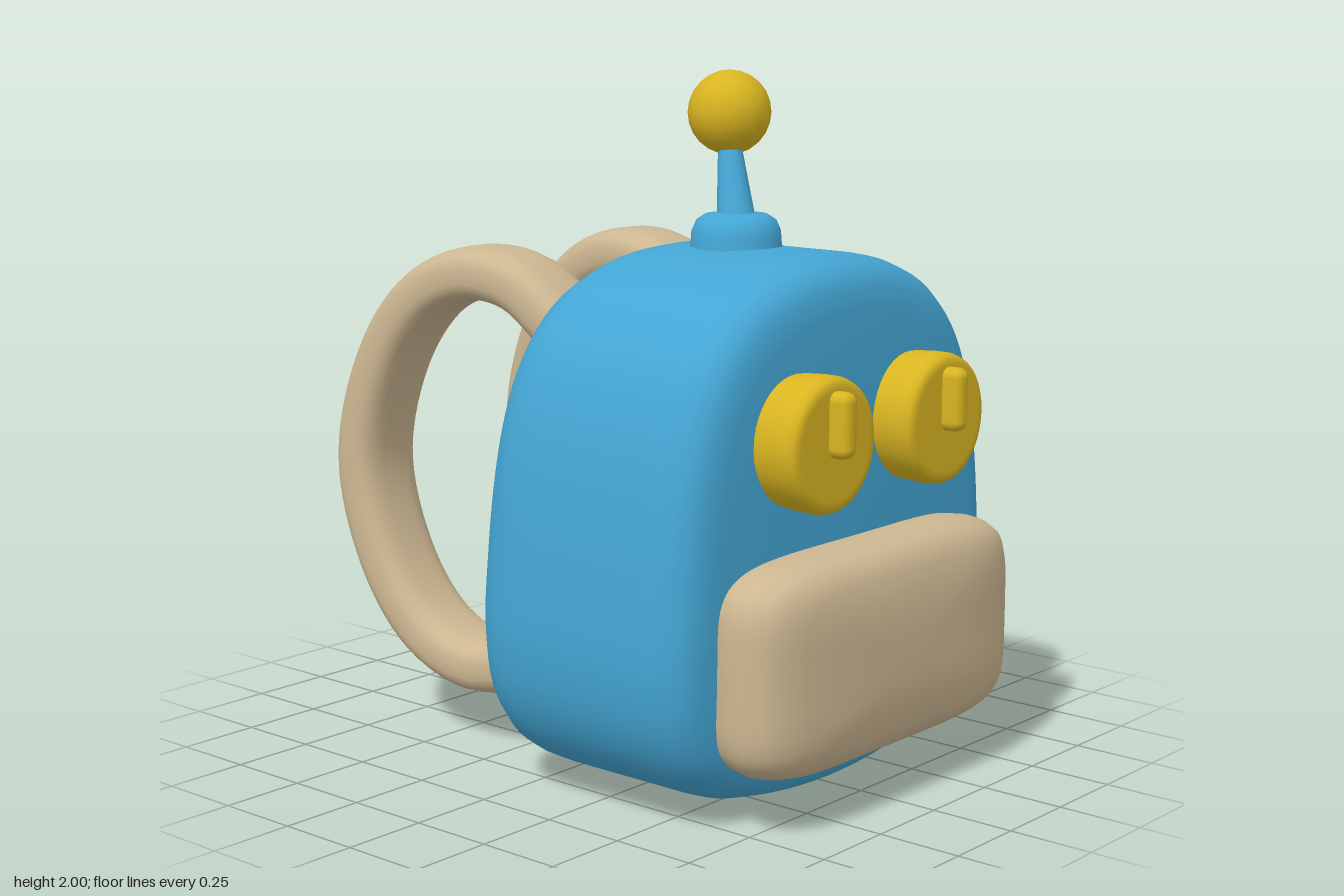
import * as THREE from 'three';
import { RoundedBoxGeometry } from 'three/addons/geometries/RoundedBoxGeometry.js';

const mat = (name, color) => {
  const m = new THREE.MeshStandardMaterial({ color });
  m.name = name;
  return m;
};

// Skin over equal-length closed rings of points (counter-clockwise around the direction of travel)
function skin(rings) {
  const n = rings[0].length, index = [];
  for (let i = 0; i < rings.length - 1; i++) {
    for (let j = 0; j < n; j++) {
      const k = (j + 1) % n;
      const a = i * n + j, b = i * n + k, c = a + n, d = b + n;
      index.push(a, b, d, a, d, c);
    }
  }
  const g = new THREE.BufferGeometry().setFromPoints(rings.flat());
  g.setIndex(index);
  g.computeVertexNormals();
  return g;
}

// Puffy solid: one outline scaled about (0, cy) along a list of [scale, z]
function puff(outline, cy, layers, adjust = (x, y, z) => z) {
  return skin(layers.map(([s, z]) => outline.map((p) => {
    const x = p.x * s, y = cy + (p.y - cy) * s;
    return new THREE.Vector3(x, y, adjust(x, y, z));
  })));
}

const power = (v, e) => Math.sign(v) * Math.abs(v) ** e;

function lathe(points, segments) {
  return new THREE.LatheGeometry(points.map((p) => new THREE.Vector2(...p)), segments);
}

export function createModel() {
  const model = new THREE.Group();
  const blue = mat('blue fabric', 0x44a6d4);
  const tan = mat('tan fabric', 0xcdb792);
  const yellow = mat('yellow trim', 0xd9b521);
  const add = (name, geometry, material, parent = model) => {
    const mesh = new THREE.Mesh(geometry, material);
    mesh.name = name;
    parent.add(mesh);
    return mesh;
  };

  // Body: dome-shaped outline with rounded front and back edges
  const half = [[0, 0], [0.28, 0.02], [0.48, 0.065], [0.62, 0.15], [0.7, 0.28], [0.73, 0.45], [0.722, 0.65],
    [0.695, 0.9], [0.65, 1.1], [0.58, 1.26], [0.46, 1.39], [0.28, 1.475], [0, 1.51]];
  const loop = [...half, ...half.slice(1, -1).reverse().map(([x, y]) => [-x, y])];
  const outline = new THREE.CatmullRomCurve3(loop.map(([x, y]) => new THREE.Vector3(x, y, 0)), true)
    .getPoints(96).slice(0, -1);
  const bodyLayers = [[0.001, -0.12], [0.4, -0.115], [0.7, -0.105], [0.84, -0.09], [0.9, -0.07], [0.945, -0.035],
    [0.98, 0.015], [0.995, 0.07], [1, 0.14], [1, 0.34], [1, 0.53], [0.995, 0.585], [0.975, 0.635],
    [0.94, 0.67], [0.89, 0.692], [0.8, 0.705], [0.5, 0.715], [0.001, 0.72]];
  // the back leans in slightly towards the top
  add('body', puff(outline, 0.75, bodyLayers,
    (x, y, z) => z + 0.03 * (y - 0.75) * Math.max(0, 1 - (z + 0.12) / 0.5)), blue);

  // Front pocket, also the mouth
  const pocketOutline = [];
  for (let i = 0; i < 80; i++) {
    const a = (i / 80) * Math.PI * 2;
    pocketOutline.push(new THREE.Vector2(0.595 * power(Math.cos(a), 0.38), 0.44 + 0.3 * power(Math.sin(a), 0.38)));
  }
  add('pocket', puff(pocketOutline, 0.44, [[0.94, 0.66], [0.985, 0.71], [1, 0.76], [0.99, 0.8], [0.95, 0.845],
    [0.88, 0.877], [0.75, 0.9], [0.5, 0.915], [0.25, 0.92], [0.001, 0.92]]), tan);

  // Eyes: round discs with an upright toggle
  for (const side of [-1, 1]) {
    const eye = new THREE.Group();
    eye.name = side > 0 ? 'leftEye' : 'rightEye';
    eye.position.set(side * 0.26, 1.04, 0);
    model.add(eye);
    const disc = add('eyeDisc', lathe([[0.175, 0.66], [0.183, 0.72], [0.187, 0.78], [0.187, 0.815], [0.18, 0.835],
      [0.165, 0.843], [0.15, 0.843], [0.08, 0.843], [0, 0.843]], 40), yellow, eye);
    disc.rotation.x = Math.PI / 2;
    add('eyeToggle', new RoundedBoxGeometry(0.064, 0.18, 0.12, 4, 0.028), yellow, eye).position.set(0, 0.06, 0.838);
  }

  // Antenna: domed base, leaning stem and ball
  add('antennaBase', lathe([[0.14, 1.46], [0.13, 1.52], [0.128, 1.55], [0.115, 1.58], [0.09, 1.597],
    [0.05, 1.603], [0, 1.605]], 24), blue).position.set(0.02, 0, 0.27);
  const from = new THREE.Vector3(0.015, 1.57, 0.275), to = new THREE.Vector3(0.055, 1.82, 0.212);
  const stem = add('antennaStem', new THREE.CylinderGeometry(0.03, 0.057, from.distanceTo(to), 16), blue);
  stem.position.copy(from).lerp(to, 0.5);
  stem.quaternion.setFromUnitVectors(new THREE.Vector3(0, 1, 0), to.clone().sub(from).normalize());
  add('antennaBall', new THREE.SphereGeometry(0.12, 16, 12), yellow).position.set(0.067, 1.88, 0.205);

  // Straps: flattened loops on the back, splayed outwards
  const path = new THREE.CatmullRomCurve3([[1.2, 0.02], [1.295, -0.1], [1.385, -0.23], [1.41, -0.4], [1.34, -0.58],
    [1.15, -0.74], [0.82, -0.835], [0.51, -0.755], [0.31, -0.6], [0.235, -0.42], [0.26, -0.25], [0.335, -0.1],
    [0.42, 0.02]].map(([y, z]) => new THREE.Vector3(0, y, z)));
  const rings = [];
  const across = new THREE.Vector3(1, 0, 0);
  for (let i = 0; i <= 64; i++) {
    const centre = path.getPointAt(i / 64);
    const normal = path.getTangentAt(i / 64).cross(across);
    const ring = [];
    for (let j = 0; j < 28; j++) {
      const a = (j / 28) * Math.PI * 2;
      ring.push(centre.clone().addScaledVector(across, 0.125 * power(Math.cos(a), 0.65))
        .addScaledVector(normal, 0.08 * power(Math.sin(a), 0.75)));
    }
    rings.push(ring);
  }
  const strapGeometry = skin(rings);
  for (const side of [-1, 1]) {
    const strap = add(side > 0 ? 'leftStrap' : 'rightStrap', strapGeometry, tan);
    strap.position.x = side * 0.29;
    strap.rotation.y = -side * 0.095;
  }
  return model;
}
